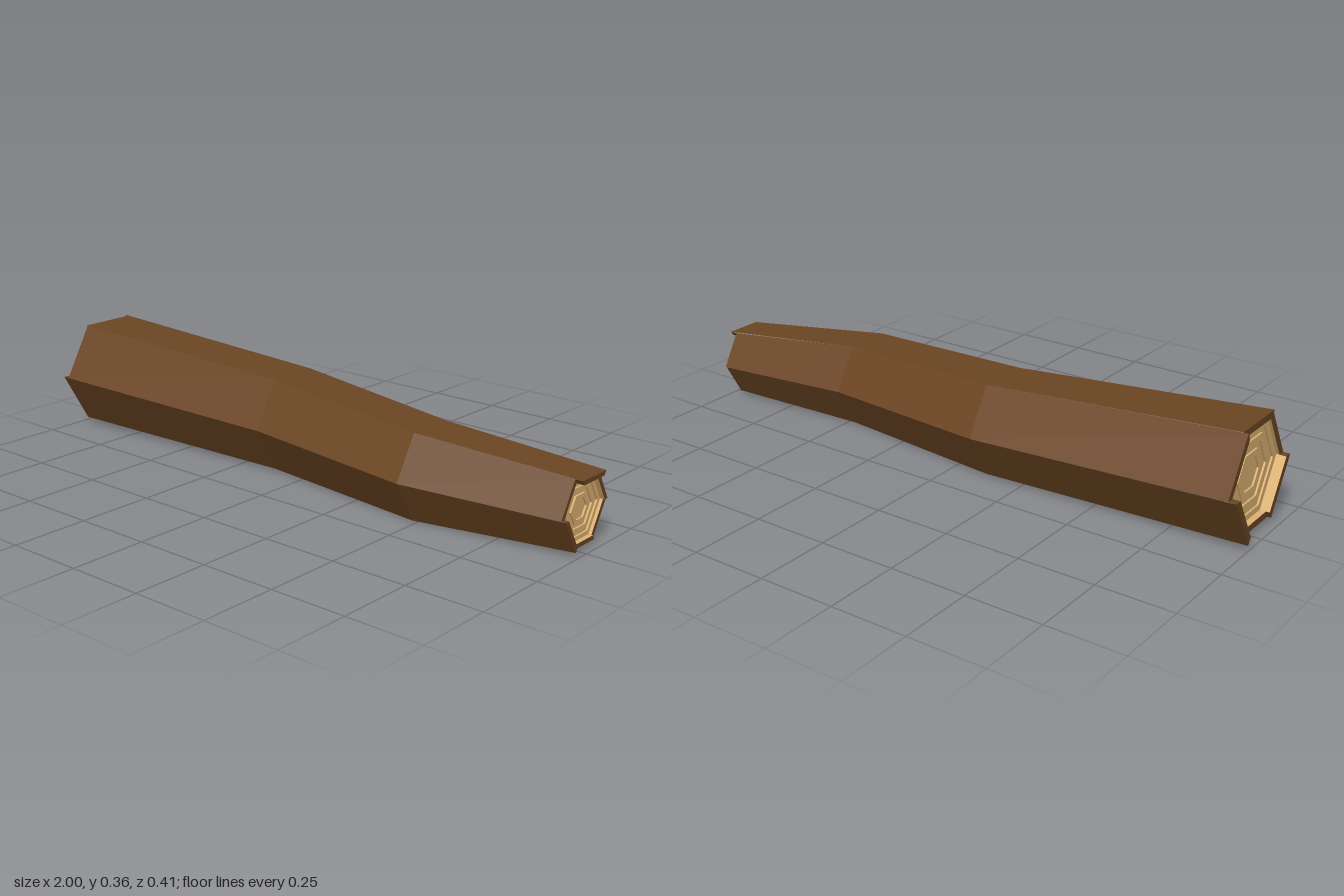
import * as THREE from 'three';

// Log cross-sections: x, centre y, centre z, radius
const SECTIONS = [
  [-0.96, 0.188, 0.008, 0.195],
  [-0.12, 0.157, -0.033, 0.173],
  [0.48, 0.137, 0.036, 0.157],
  [0.98, 0.12, -0.022, 0.123],
];
const SIDES = 6;
// Where each bark strip ends: upper front, top, upper back, lower back, bottom, lower front
const LEFT_ENDS = [-0.955, -0.96, -0.975, -1, -0.965, -0.977];
const RIGHT_ENDS = [0.975, 1, 0.975, 0.97, 0.975, 0.99];
const BARK_INNER = 0.87;
const RING_COUNT = 6;

// Hexagon corner k of a section, scaled about its centre, placed at x
function corner([, cy, cz, r], k, scale, x) {
  const a = (k * Math.PI * 2) / SIDES;
  return [x, cy + r * scale * Math.sin(a), cz + r * scale * Math.cos(a)];
}

// Collects flat quads and turns them into one mesh
function quadBuilder() {
  const pos = [];
  return {
    quad(a, b, c, d, flip = false) {
      if (flip) [b, d] = [d, b];
      for (const p of [a, b, c, a, c, d]) pos.push(...p);
    },
    mesh(name, material) {
      const g = new THREE.BufferGeometry();
      g.setAttribute('position', new THREE.Float32BufferAttribute(pos, 3));
      g.computeVertexNormals();
      const m = new THREE.Mesh(g, material);
      m.name = name;
      return m;
    },
  };
}

// One end of the log: bark rim with uneven strips, and stepped growth rings
function addEnd(bark, wood, section, ends, capX, sign) {
  const flip = sign < 0;
  const at = (k, scale, x) => corner(section, k, scale, x);

  for (let k = 0; k < SIDES; k++) {
    const n = k + 1;
    const end = ends[k];
    // end face of the strip
    bark.quad(at(k, BARK_INNER, end), at(n, BARK_INNER, end), at(n, 1, end), at(k, 1, end), flip);
    // pale inner wall
    wood.quad(at(k, BARK_INNER, capX), at(n, BARK_INNER, capX),
      at(n, BARK_INNER, end), at(k, BARK_INNER, end), flip);
    // exposed strip edges beside shorter neighbours
    for (const [c, neighbour, reverse] of [[k, (k + SIDES - 1) % SIDES, false], [n, n % SIDES, true]]) {
      const start = ends[neighbour];
      if ((end - start) * sign > 0) {
        bark.quad(at(c, BARK_INNER, start), at(c, BARK_INNER, end),
          at(c, 1, end), at(c, 1, start), flip !== reverse);
      }
    }
  }

  // growth rings alternate between raised and sunken
  const ringX = (j) => capX - (j % 2) * 0.006 * sign;
  const ringScale = (j) => (j === RING_COUNT ? 0 : BARK_INNER * (1 - j * 0.135));
  for (let j = 0; j < RING_COUNT; j++) {
    const x = ringX(j), outer = ringScale(j), inner = ringScale(j + 1);
    for (let k = 0; k < SIDES; k++) {
      const n = k + 1;
      wood.quad(at(k, inner, x), at(n, inner, x), at(n, outer, x), at(k, outer, x), flip);
      if (j < RING_COUNT - 1) {
        const next = ringX(j + 1);
        wood.quad(at(k, inner, next), at(n, inner, next), at(n, inner, x), at(k, inner, x), flip);
      }
    }
  }
}

export function createModel() {
  const barkMaterial = new THREE.MeshStandardMaterial({ color: 0x6b4522, flatShading: true });
  const woodMaterial = new THREE.MeshStandardMaterial({ color: 0xdeb373, flatShading: true });
  const bark = quadBuilder();
  const wood = quadBuilder();

  // Outer bark, one strip per side
  const last = SECTIONS.length - 1;
  for (let k = 0; k < SIDES; k++) {
    const xs = SECTIONS.map((s, i) => (i === 0 ? LEFT_ENDS[k] : i === last ? RIGHT_ENDS[k] : s[0]));
    for (let i = 0; i < last; i++) {
      const [a, b] = [SECTIONS[i], SECTIONS[i + 1]];
      bark.quad(corner(a, k, 1, xs[i]), corner(b, k, 1, xs[i + 1]),
        corner(b, k + 1, 1, xs[i + 1]), corner(a, k + 1, 1, xs[i]));
    }
  }

  addEnd(bark, wood, SECTIONS[0], LEFT_ENDS, -0.945, -1);
  addEnd(bark, wood, SECTIONS[last], RIGHT_ENDS, 0.96, 1);

  const log = new THREE.Group();
  log.name = 'log';
  log.add(bark.mesh('bark', barkMaterial), wood.mesh('growthRings', woodMaterial));
  return log;
}
